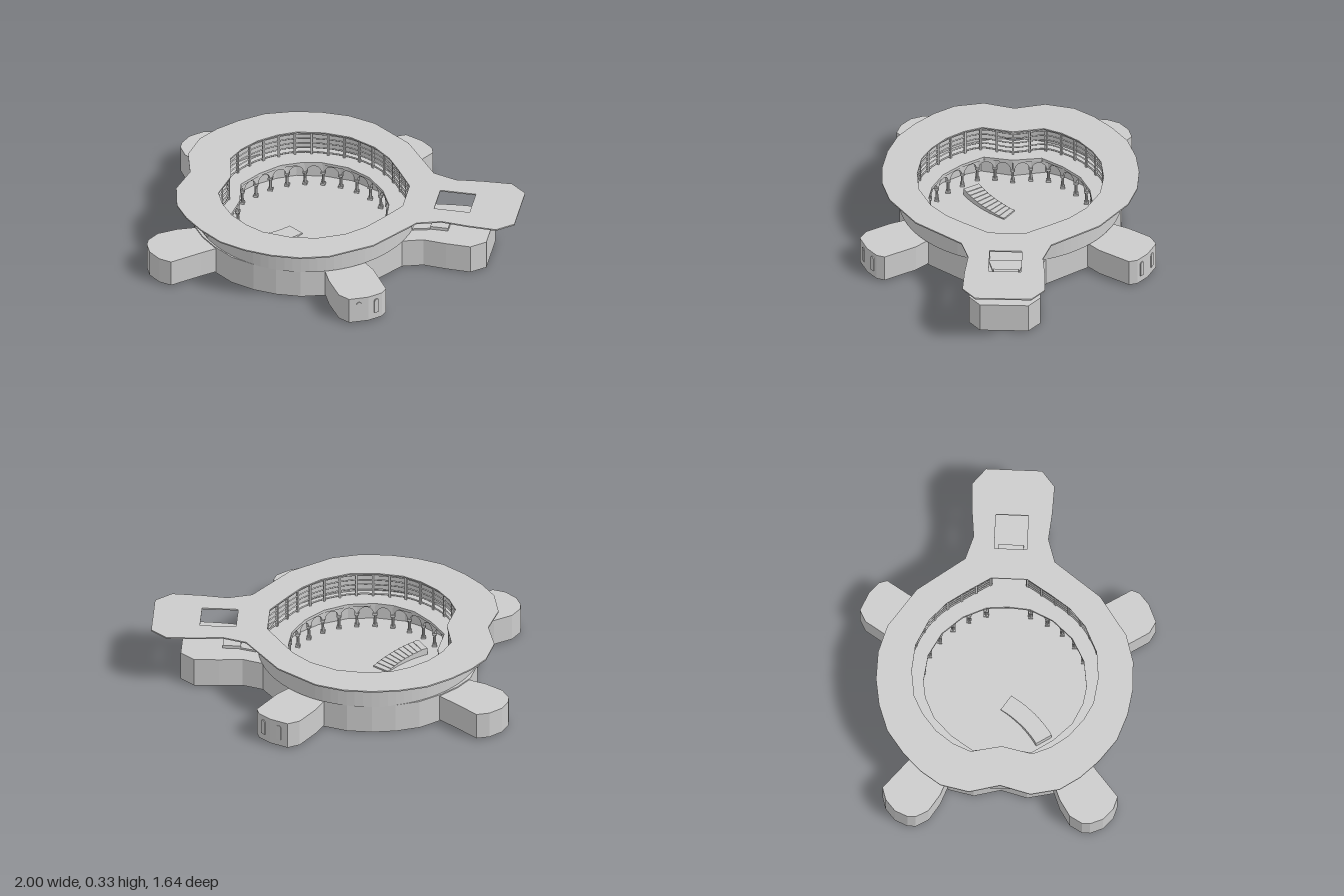
import * as THREE from 'three';

const CX = -0.2; // centre of the round pit
const mat = new THREE.MeshStandardMaterial({ color: 0xcccccc, flatShading: true, side: THREE.DoubleSide });

// half outlines (z >= 0) as [x, z], running from the neck side to the rear
const ROOF = [[1, 0.155], [0.91, 0.228], [0.75, 0.222], [0.6, 0.207], [0.468, 0.248], [0.275, 0.507],
  [0.055, 0.66], [-0.1, 0.705], [-0.26, 0.71], [-0.41, 0.687], [-0.56, 0.635], [-0.69, 0.54],
  [-0.79, 0.44], [-0.865, 0.33], [-0.9, 0.17], [-0.855, 0]];
const OPENING = [[0.36, 0.1], [0.27, 0.24], [0.2, 0.34], [0.1, 0.43], [-0.05, 0.5], [-0.2, 0.515],
  [-0.35, 0.495], [-0.45, 0.445], [-0.55, 0.365], [-0.62, 0.27], [-0.662, 0.17], [-0.625, 0]];
const LEDGE = [[0.25, 0], [0.24, 0.12], [0.18, 0.25], [0.08, 0.36], [-0.05, 0.43], [-0.2, 0.45],
  [-0.3, 0.435], [-0.42, 0.38], [-0.52, 0.28], [-0.6, 0.16], [-0.575, 0]];

const scaled = (pts, s) => pts.map(([x, z]) => [CX + (x - CX) * s, z * s]);
const mirrored = (half) => [...half, ...half.filter((p) => p[1] > 0).reverse().map(([x, z]) => [x, -z])];
const toVec = (pts) => pts.map(([x, z]) => new THREE.Vector2(x, z));

function add(parent, name, geometry, x = 0, y = 0, z = 0, ry = 0) {
  const m = new THREE.Mesh(geometry, mat);
  m.name = name;
  m.position.set(x, y, z);
  m.rotation.y = ry;
  parent.add(m);
  return m;
}

// horizontal slab between two heights from a plan outline with holes
function slab(outline, y0, y1, holes = []) {
  const shape = new THREE.Shape(toVec(outline));
  holes.forEach((h) => shape.holes.push(new THREE.Path(toVec(h))));
  const g = new THREE.ExtrudeGeometry(shape, { depth: y1 - y0, bevelEnabled: false });
  return g.rotateX(Math.PI / 2).translate(0, y1, 0);
}

function curveOf(pts, y) {
  return new THREE.CatmullRomCurve3(pts.map(([x, z]) => new THREE.Vector3(x, y, z)), false, 'centripetal');
}

// flat panel whose underside is a round arch
function archPanel(w, h, spring) {
  const r = w / 2 - 0.011;
  const s = new THREE.Shape();
  s.moveTo(-w / 2, h);
  s.lineTo(-w / 2, spring);
  s.lineTo(-r, spring);
  s.absarc(0, spring, r, Math.PI, 0, true);
  s.lineTo(w / 2, spring);
  s.lineTo(w / 2, h);
  return new THREE.ExtrudeGeometry(s, { depth: 0.016, bevelEnabled: false, curveSegments: 8 }).translate(0, 0, -0.008);
}

function windowPanel() {
  const s = new THREE.Shape();
  s.moveTo(-0.014, 0);
  s.lineTo(0.014, 0);
  s.lineTo(0.014, 0.075);
  s.absarc(0, 0.075, 0.014, 0, Math.PI, false);
  return new THREE.ExtrudeGeometry(s, { depth: 0.006, bevelEnabled: false, curveSegments: 4 });
}

function buildBase(root) {
  const g = new THREE.Group();
  g.name = 'base';
  root.add(g);
  const body = mirrored(scaled(ROOF, 0.865));
  const pit = mirrored(scaled(OPENING, 1.05));
  add(g, 'pitFloor', slab(body, 0.003, 0.02));
  add(g, 'baseWall', slab(body, 0.02, 0.155, [pit]));
  add(g, 'ledge', slab(body, 0.155, 0.172, [mirrored(LEDGE)]));
  add(g, 'undersideDisc', new THREE.CylinderGeometry(0.2, 0.2, 0.004, 32), CX, 0.002, 0);
  add(g, 'undersideHatch', new THREE.BoxGeometry(0.09, 0.004, 0.09), CX, 0.002, 0);
}

function buildLegs(root) {
  const frontLeg = [[0.01, 0.56], [0.055, 0.66], [0.135, 0.785], [0.2, 0.818], [0.3, 0.775],
    [0.365, 0.72], [0.38, 0.675], [0.275, 0.507], [0.2, 0.43]];
  const rearLeg = [[-0.735, 0.28], [-0.865, 0.33], [-0.96, 0.39], [-1, 0.46], [-1, 0.505], [-0.97, 0.575],
    [-0.905, 0.63], [-0.835, 0.65], [-0.69, 0.53], [-0.6, 0.46]];
  for (const s of [1, -1]) {
    for (const [name, plan] of [['neckSideLeg', frontLeg], ['rearLeg', rearLeg]]) {
      add(root, name, slab(plan.map(([x, z]) => [x, z * s]), 0.01, 0.165));
    }
    // two arched windows on the rounded end of the neck-side legs
    for (const [x, z, nx, nz] of [[0.25, 0.794, 0.37, 0.93], [0.338, 0.743, 0.65, 0.76]]) {
      add(root, 'legWindow', windowPanel(), x, 0.05, z * s, Math.atan2(nx, nz * s));
    }
  }
}

function buildArcade(root) {
  const g = new THREE.Group();
  g.name = 'arcade';
  root.add(g);
  const n = 26;
  const pts = curveOf(mirrored(scaled(LEDGE.slice(1), 1.03)), 0.02).getSpacedPoints(n);
  const shaft = new THREE.CylinderGeometry(0.007, 0.009, 0.085, 8);
  const block = new THREE.BoxGeometry(0.026, 0.012, 0.026);
  pts.forEach((p, i) => {
    add(g, 'columnShaft', shaft, p.x, 0.0625, p.z);
    add(g, 'columnBase', block, p.x, 0.026, p.z);
    add(g, 'columnCapital', block, p.x, 0.1, p.z);
    if (i === n) return;
    const q = pts[i + 1], mid = p.clone().lerp(q, 0.5);
    add(g, 'arch', archPanel(p.distanceTo(q), 0.135, 0.086), mid.x, 0.02, mid.z, Math.atan2(p.z - q.z, q.x - p.x));
  });
  // gate frame on the neck side
  for (const s of [1, -1]) add(g, 'gatePost', new THREE.BoxGeometry(0.025, 0.135, 0.025), 0.265, 0.0875, 0.12 * s);
  add(g, 'gateLintel', new THREE.BoxGeometry(0.02, 0.02, 0.24), 0.265, 0.145, 0);
}

function buildUpperStorey(root) {
  const g = new THREE.Group();
  g.name = 'upperStorey';
  root.add(g);
  // ring wall with a doorway toward the neck
  const ring = new THREE.Shape();
  const gap = 0.16;
  ring.absarc(CX, 0, 0.62, gap, 2 * Math.PI - gap, false);
  ring.absarc(CX, 0, 0.585, 2 * Math.PI - gap, gap, true);
  const wall = new THREE.ExtrudeGeometry(ring, { depth: 0.15, bevelEnabled: false, curveSegments: 40 });
  add(g, 'ringWall', wall.rotateX(Math.PI / 2).translate(0, 0.32, 0));
  // small side door
  const a = 2.48;
  add(g, 'sideDoor', new THREE.BoxGeometry(0.035, 0.13, 0.012),
    CX + 0.619 * Math.cos(a), 0.245, 0.619 * Math.sin(a), Math.PI / 2 - a);
  // gallery of posts and rails behind the roof edge
  const path = mirrored(scaled(OPENING, 1.03));
  const post = new THREE.BoxGeometry(0.012, 0.15, 0.012);
  const pts = curveOf(path, 0.246).getSpacedPoints(34);
  pts.forEach((p) => add(g, 'galleryPost', post, p.x, p.y, p.z, Math.atan2(p.x - CX, p.z)));
  for (const y of [0.185, 0.215, 0.245, 0.275, 0.305]) {
    add(g, 'galleryRail', new THREE.TubeGeometry(curveOf(path, y), 80, 0.005, 4));
  }
  // roof plate with the round opening and the neck skylight
  const skylight = [[0.535, -0.09], [0.735, -0.09], [0.735, 0.09], [0.535, 0.09]];
  add(g, 'roofPlate', slab(mirrored(ROOF), 0.32, 0.328, [mirrored(OPENING), skylight]));
}

function buildSteps(root) {
  // landing and block on the neck deck
  add(root, 'neckLanding', slab([[0.415, -0.1], [0.51, -0.075], [0.51, 0.075], [0.415, 0.1]], 0.17, 0.182));
  add(root, 'neckStep', slab([[0.51, -0.07], [0.61, -0.07], [0.61, 0.07], [0.51, 0.07]], 0.17, 0.19));
  // curved flight of steps on the pit floor
  const c = new THREE.QuadraticBezierCurve3(new THREE.Vector3(-0.475, 0, 0.225),
    new THREE.Vector3(-0.345, 0, 0.145), new THREE.Vector3(-0.26, 0, 0.01));
  for (let i = 0; i < 10; i++) {
    const t = (i + 0.5) / 10, p = c.getPoint(t), d = c.getTangent(t), h = 0.04 - 0.0035 * i;
    add(root, 'pitStep', new THREE.BoxGeometry(0.036, h, 0.1), p.x, 0.02 + h / 2, p.z, Math.atan2(-d.z, d.x));
  }
}

export function createModel() {
  const root = new THREE.Group();
  root.name = 'arena';
  buildBase(root);
  buildLegs(root);
  buildArcade(root);
  buildUpperStorey(root);
  buildSteps(root);
  return root;
}
